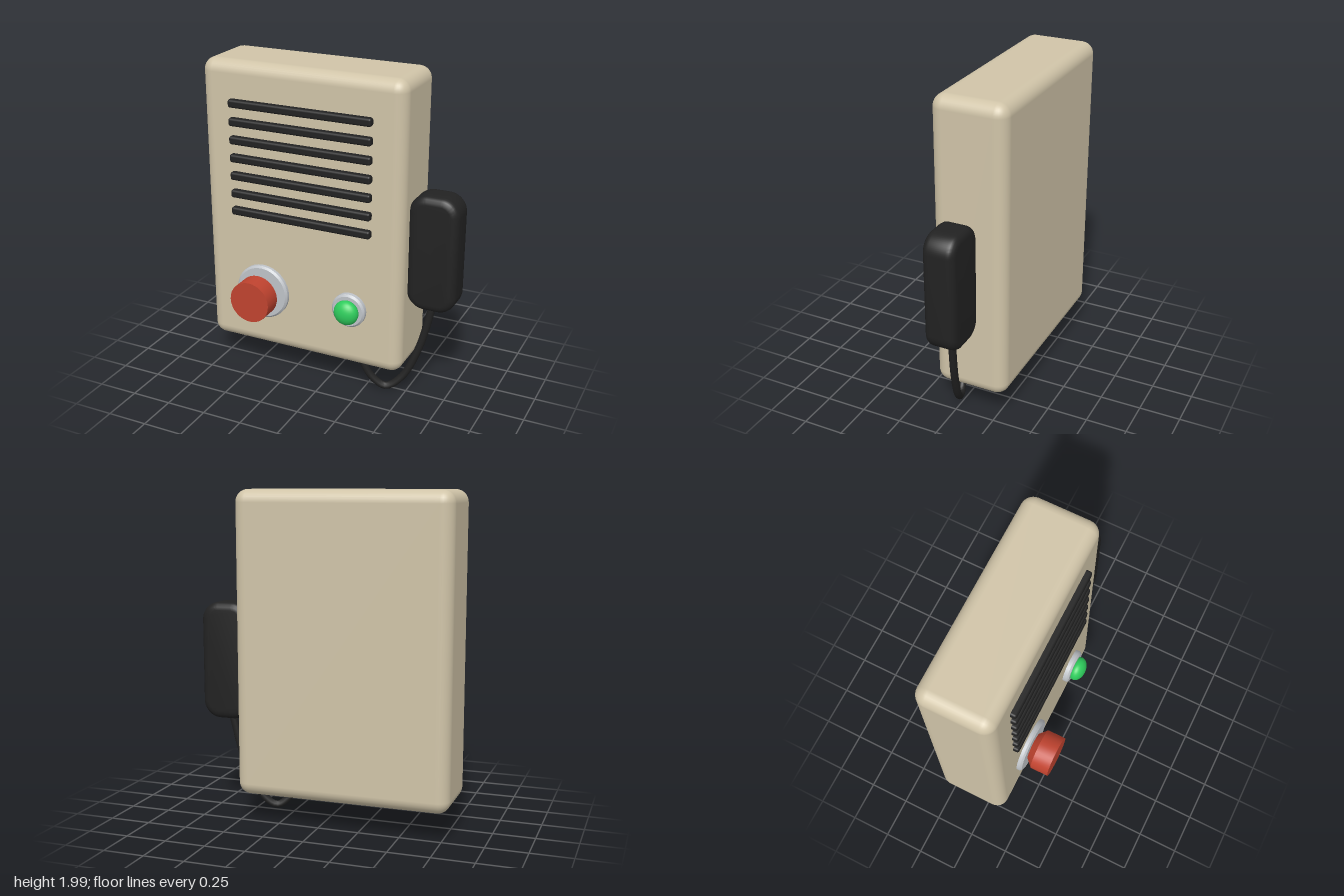
import * as THREE from 'three';
import { RoundedBoxGeometry } from 'three/addons/geometries/RoundedBoxGeometry.js';
import { toCreasedNormals } from 'three/addons/utils/BufferGeometryUtils.js';

const mat = (name, color) => {
  const m = new THREE.MeshStandardMaterial({ color });
  m.name = name;
  return m;
};

export function createModel() {
  const casing = mat('beige casing', 0xd0c4a8);
  const black = mat('black plastic', 0x222222);
  const red = mat('red button', 0xc0432f);
  const green = mat('green lamp', 0x2ecc5c);
  const metal = mat('grey metal', 0xbfc3c8);

  const model = new THREE.Group();
  model.name = 'wallIntercom';
  const add = (name, geometry, material, x, y, z, parent = model) => {
    const mesh = new THREE.Mesh(geometry, material);
    mesh.name = name;
    mesh.position.set(x, y, z);
    parent.add(mesh);
    return mesh;
  };
  // Turned part facing +z, from [radius, z] pairs running back to front
  const turned = (profile, segments = 32) => {
    const g = new THREE.LatheGeometry(profile.map(([r, h]) => new THREE.Vector2(r, h)), segments);
    g.rotateX(Math.PI / 2);
    return toCreasedNormals(g, 0.5);
  };
  const bezel = (r, depth) => turned([[0, 0], [r, 0], [r, depth - 0.012], [r - 0.012, depth], [0, depth]]);

  // Casing
  add('casing', new RoundedBoxGeometry(1.3, 1.82, 0.455, 4, 0.075), casing, -0.15, 1.09, -0.0925);

  // Speaker grille bars
  const grille = new THREE.Group();
  grille.name = 'speakerGrille';
  model.add(grille);
  const bar = new RoundedBoxGeometry(0.915, 0.05, 0.06, 2, 0.014);
  for (let i = 0; i < 7; i++) add('grilleBar', bar, black, -0.1475, 1.08 + i * 0.1123, 0.14, grille);

  // Call button with its tapered neck
  add('buttonBezel', bezel(0.175, 0.035), metal, -0.41, 0.568, 0.132);
  add('callButton', turned([[0, 0], [0.08, 0], [0.13, 0.05], [0.13, 0.165], [0, 0.165]]), red, -0.41, 0.568, 0.16);

  // Indicator lamp
  add('lampBezel', bezel(0.108, 0.04), metal, 0.177, 0.568, 0.132);
  add('indicatorLamp', new THREE.SphereGeometry(0.078, 32, 20), green, 0.177, 0.568, 0.19).scale.z = 0.68;

  // Handset: rounded outline with softened front and back edges
  const bevel = 0.045, w = 0.305 / 2 - bevel, h = 0.72 / 2 - bevel, r = 0.065;
  const outline = new THREE.Shape();
  outline.absarc(w - r, h - r, r, 0, Math.PI / 2);
  outline.absarc(r - w, h - r, r, Math.PI / 2, Math.PI);
  outline.absarc(r - w, r - h, r, Math.PI, Math.PI * 1.5);
  outline.absarc(w - r, r - h, r, Math.PI * 1.5, Math.PI * 2);
  const handset = new THREE.ExtrudeGeometry(outline, {
    depth: 0.195 - 2 * bevel, bevelEnabled: true, bevelSize: bevel,
    bevelThickness: bevel, bevelSegments: 4, curveSegments: 8,
  });
  handset.translate(0, 0, bevel - 0.0975);
  add('handset', toCreasedNormals(handset, 0.7), black, 0.642, 0.96, -0.0575);

  // Hanging cord from the casing underside to the handset
  const path = new THREE.CatmullRomCurve3([
    [0.235, 0.2, 0.077], [0.29, 0.095, 0.058], [0.375, 0.03, 0.03],
    [0.47, 0.1, 0.0], [0.565, 0.31, -0.03], [0.64, 0.63, -0.057],
  ].map((p) => new THREE.Vector3(...p)));
  add('cord', new THREE.TubeGeometry(path, 40, 0.023, 10), black, 0, 0, 0);

  return model;
}
